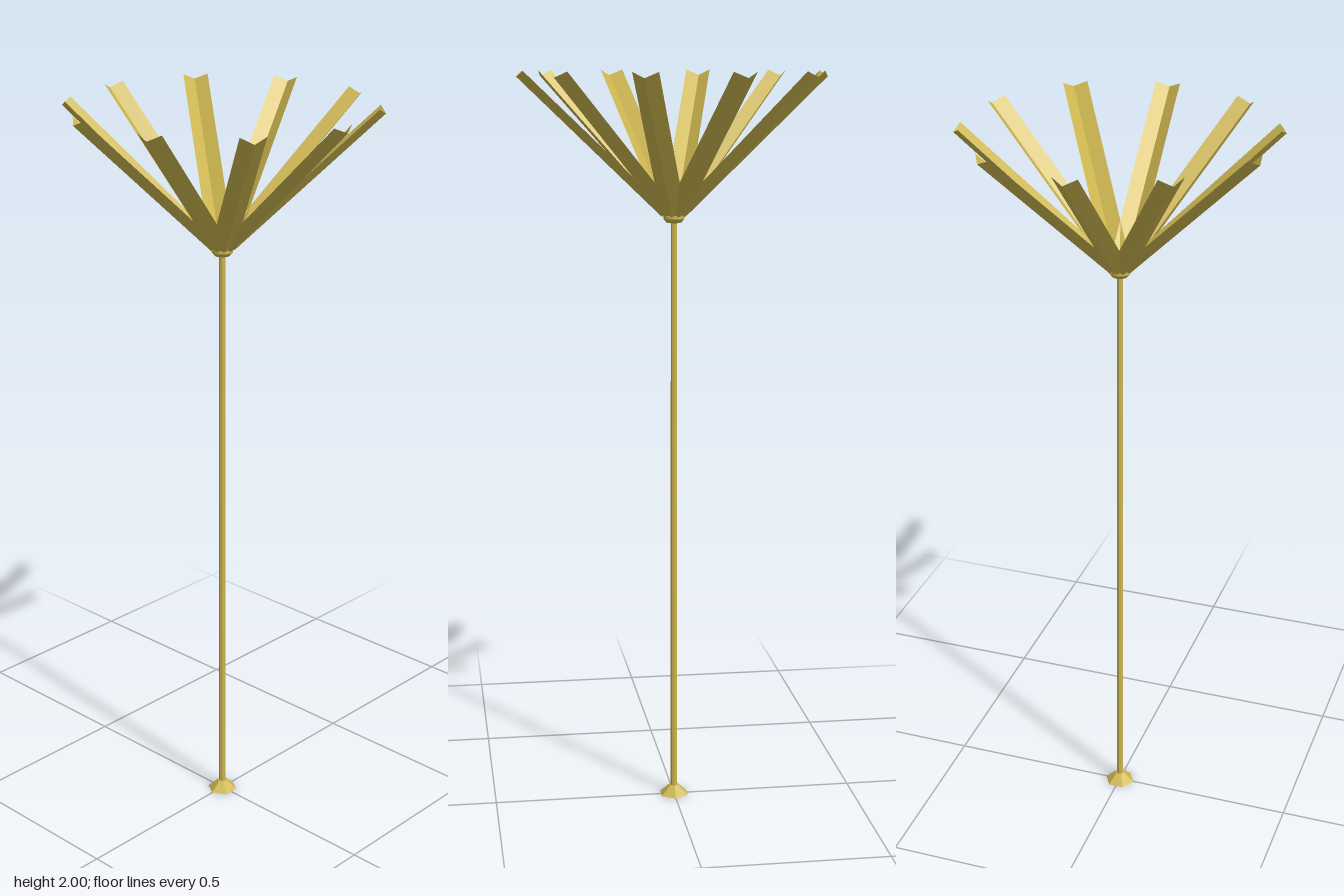
import * as THREE from 'three';

const BLADES = 10;

export function createModel() {
  const model = new THREE.Group();
  model.name = 'bladedPole';
  const brass = new THREE.MeshStandardMaterial({ color: 0xcdb650, side: THREE.DoubleSide });
  brass.name = 'brass';
  brass.flatShading = true;

  const add = (name, geometry, y = 0, parent = model) => {
    const mesh = new THREE.Mesh(geometry, brass);
    mesh.name = name;
    mesh.position.y = y;
    parent.add(mesh);
    return mesh;
  };

  // Hexagonal foot and slim pole
  add('foot', new THREE.CylinderGeometry(0.014, 0.042, 0.026, 6).rotateY(Math.PI / 6), 0.013);
  add('pole', new THREE.CylinderGeometry(0.008, 0.0095, 1.6, 8), 0.815);

  // Hub: cup with a collar, closed by a small dome
  const cup = [[0.008, 1.604], [0.02, 1.606], [0.028, 1.616], [0.028, 1.624], [0.022, 1.63], [0, 1.63]];
  add('hubCup', new THREE.LatheGeometry(cup.map(([x, y]) => new THREE.Vector2(x, y)), 20));
  const dome = new THREE.SphereGeometry(0.027, 20, 8, 0, Math.PI * 2, 0, Math.PI / 2).scale(1, 0.7, 1);
  add('hubDome', dome, 1.627);

  // V-folded blade: cross-sections (left edge, crease, right edge) at root and tip
  const half = 0.033, fold = 0.015;
  const section = (r, y) => [[-half, y, r], [0, y - fold, r + fold], [half, y, r]];
  const a = section(0.018, 1.637), b = section(0.395, 2);
  const corners = [];
  for (let i = 0; i < 2; i++) {
    corners.push(a[i], b[i + 1], b[i], a[i], a[i + 1], b[i + 1]);
  }
  const blade = new THREE.BufferGeometry();
  blade.setAttribute('position', new THREE.Float32BufferAttribute(corners.flat(), 3));
  blade.computeVertexNormals();
  // Make the upper, inner side the front of each face
  if (blade.attributes.normal.getY(0) < 0) {
    const p = blade.attributes.position;
    for (let i = 0; i < p.count; i++) p.setX(i, -p.getX(i));
    blade.computeVertexNormals();
  }

  // Ring of blades, each with a small clip on the hub collar
  const clip = new THREE.BoxGeometry(0.007, 0.012, 0.01).translate(0, 1.628, 0.028);
  for (let i = 0; i < BLADES; i++) {
    const arm = new THREE.Group();
    arm.name = 'arm' + (i + 1);
    arm.rotation.y = (i / BLADES) * Math.PI * 2;
    add('blade', blade, 0, arm);
    add('clip', clip, 0, arm);
    model.add(arm);
  }
  return model;
}
